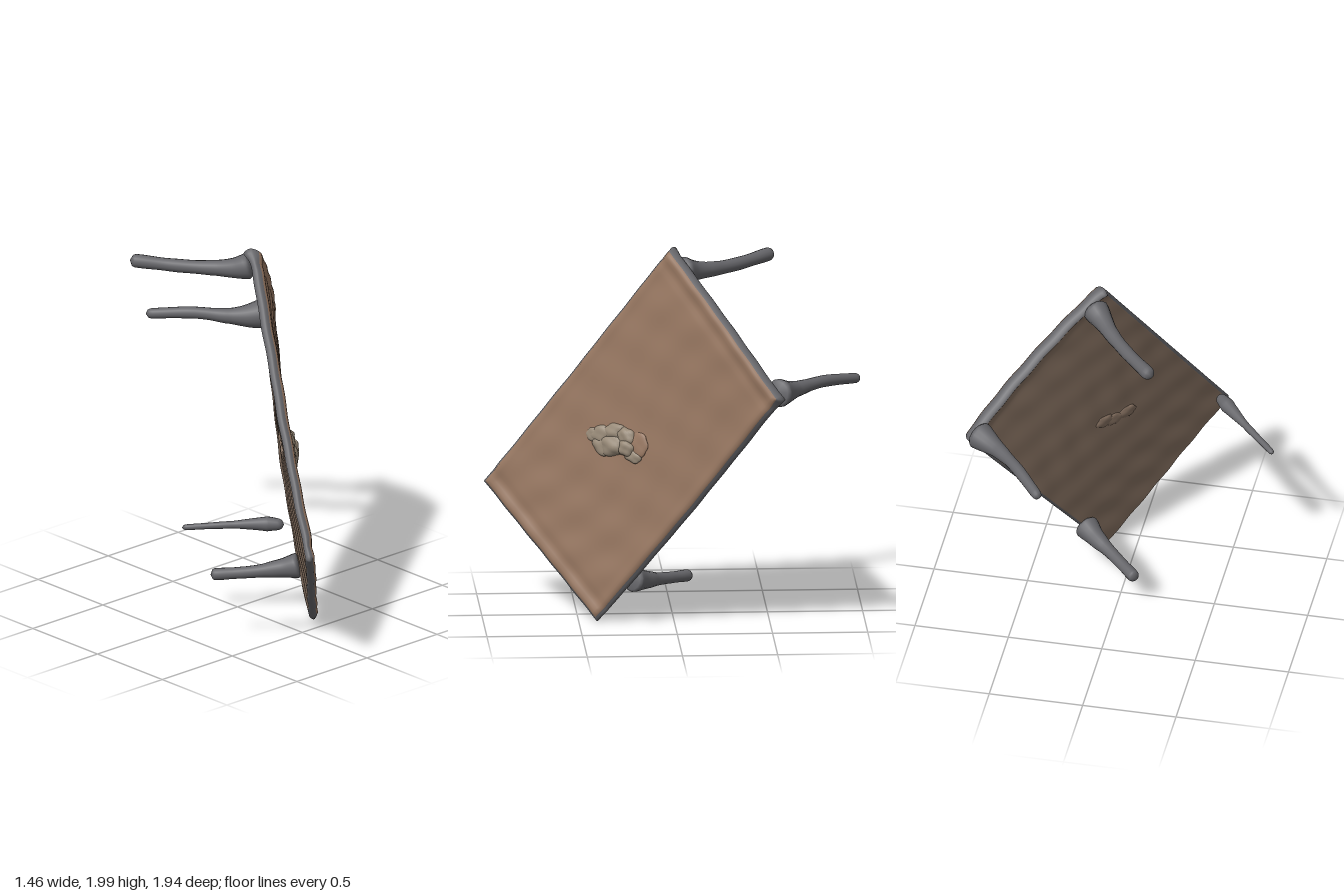
import * as THREE from 'three';
import { mergeVertices } from 'three/addons/utils/BufferGeometryUtils.js';

const V = (x, y, z) => new THREE.Vector3(x, y, z);

// Corners of the tipped table top
const TOP = V(0.12, 1.99, 0.02), BACK = V(0.73, 1.31, -0.52);
const LOW = V(0.18, 0.01, 0.41), FRONT = V(-0.36, 0.64, 0.97);
const NORMAL = V(0.76, 0.17, 0.63).normalize();
const DOWN = LOW.clone().sub(BACK).normalize();

// Point on the warped board: u runs along the short side, v along the long side
function onBoard(u, v, offset) {
  const p = TOP.clone().lerp(BACK, u).lerp(FRONT.clone().lerp(LOW, u), v);
  const bow = 0.015 * Math.sin(Math.PI * u) * (1 - v);
  const cup = -0.028 * Math.sin(Math.PI * v) * (0.3 + 0.7 * u);
  const crest = 0.022 * Math.sin(Math.PI * u) * (1 - v) ** 3;
  return p.addScaledVector(DOWN, -bow).addScaledVector(NORMAL, offset + cup + crest);
}

const bump = (d, at, width) => Math.exp(-(((d - at) / width) ** 2));

// Welds the seams so that shading is smooth
function smooth(geo) {
  geo.deleteAttribute('normal');
  geo.deleteAttribute('uv');
  const out = mergeVertices(geo, 1e-5);
  out.computeVertexNormals();
  return out;
}

// Slab with rounded edges, raised border, shallow groove and faint grain
function boardGeometry() {
  const geo = new THREE.BoxGeometry(1, 1, 1, 60, 90, 6);
  const pos = geo.attributes.position;
  for (let i = 0; i < pos.count; i++) {
    const w = pos.getZ(i) * 2;
    // Edges belly outward between the two faces
    const belly = 0.016 * (1 - w * w) - 0.01;
    const x = pos.getX(i), y = pos.getY(i);
    const onX = Math.abs(x) > 0.499, onY = Math.abs(y) > 0.499;
    const u = x + 0.5 + (onX ? Math.sign(x) * belly / 1.08 : 0);
    const v = 0.5 - y - (onY ? Math.sign(y) * belly / 1.73 : 0);
    const du = (0.5 - Math.abs(x)) * 1.08, dv = (0.5 - Math.abs(y)) * 1.73;
    const d = Math.min(du, dv);
    const round = Math.min(1, 0.3 + d / 0.03);
    const grain = 0.002 * Math.sin(u * 31 + 3 * Math.sin(v * 7)) + 0.0015 * Math.sin(v * 43 + u * 9);
    const front = 0.012 * round + 0.004 * bump(d, 0.035, 0.025) - 0.007 * bump(dv, 0.08, 0.03) + grain;
    // Apron along the upper short side, a lower one along the long sides
    const apron = 0.03 * bump((0.5 - y) * 1.73, 0, 0.05) + 0.012 * bump(du, 0, 0.035) * (0.5 + y);
    const back = -0.036 - apron + grain;
    const p = onBoard(u, v, THREE.MathUtils.lerp(back, front, (w + 1) / 2));
    pos.setXYZ(i, p.x, p.y, p.z);
  }
  return smooth(geo);
}

// Tube along points whose radius follows evenly spaced values, with round ends
function limbGeometry(points, radii) {
  const N = 48;
  const curve = new THREE.CatmullRomCurve3(points.map((p) => V(...p)));
  const geo = new THREE.TubeGeometry(curve, N, 1, 14);
  const pos = geo.attributes.position, p = V(0, 0, 0);
  for (let i = 0; i < pos.count; i++) {
    const t = Math.floor(i / 15) / N;
    const s = t * (radii.length - 1), k = Math.min(Math.floor(s), radii.length - 2);
    let r = THREE.MathUtils.lerp(radii[k], radii[k + 1], s - k);
    const e = Math.max(0, 1 - Math.min(t, 1 - t) / 0.05);
    r *= Math.sqrt(Math.max(0, 1 - e * e)) * (1 + 0.02 * Math.sin(t * 23));
    const c = curve.getPointAt(t);
    p.fromBufferAttribute(pos, i).sub(c).multiplyScalar(r).add(c);
    pos.setXYZ(i, p.x, p.y, p.z);
  }
  return smooth(geo);
}

// Unit ball with an uneven surface
function lumpGeometry(seed) {
  const geo = new THREE.SphereGeometry(1, 24, 16);
  const pos = geo.attributes.position, p = V(0, 0, 0);
  for (let i = 0; i < pos.count; i++) {
    p.fromBufferAttribute(pos, i);
    p.multiplyScalar(1 + 0.12 * Math.sin(p.x * 4 + seed) * Math.cos(p.y * 5 + seed * 2));
    pos.setXYZ(i, p.x, p.y, p.z);
  }
  return smooth(geo);
}

export function createModel() {
  const group = new THREE.Group();
  const material = (color) => new THREE.MeshStandardMaterial({ color });
  const wood = material(0x967660), underside = material(0x857060);
  const dark = material(0x66666a), clay = material(0x988a78);

  const add = (name, geo, mat, parent = group) => {
    const m = new THREE.Mesh(geo, mat);
    m.name = name;
    parent.add(m);
    return m;
  };

  // Dark edges, brown face, duller underside
  add('tableTop', boardGeometry(), [dark, dark, dark, dark, wood, underside]);

  // Three attached legs, flared at the joint, and one loose leg
  add('topLeg', limbGeometry(
    [[0.14, 1.88, -0.03], [0.08, 1.86, -0.1], [0.01, 1.85, -0.2], [-0.1, 1.85, -0.34], [-0.27, 1.87, -0.54]],
    [0.075, 0.056, 0.042, 0.037, 0.035, 0.034, 0.035, 0.036]), dark);
  add('backLeg', limbGeometry(
    [[0.67, 1.33, -0.51], [0.6, 1.32, -0.56], [0.52, 1.32, -0.63], [0.4, 1.33, -0.77], [0.24, 1.31, -0.97]],
    [0.08, 0.062, 0.042, 0.034, 0.031, 0.031, 0.028, 0.026]), dark);
  add('lowLeg', limbGeometry(
    [[0.24, 0.24, 0.23], [0.17, 0.22, 0.16], [0.06, 0.2, 0.06], [-0.1, 0.18, -0.1]],
    [0.07, 0.052, 0.037, 0.031, 0.031, 0.032]), dark);
  add('looseLeg', limbGeometry(
    [[-0.37, 0.78, 0.76], [-0.43, 0.78, 0.69], [-0.55, 0.77, 0.56], [-0.74, 0.75, 0.37]],
    [0.025, 0.04, 0.028, 0.02, 0.018, 0.016, 0.015]), dark);

  // Lumpy ornament in the middle, laid out flat against the board
  const ornament = new THREE.Group();
  ornament.name = 'ornament';
  const centre = V(0.11, 0.95, 0.3);
  const lift = onBoard(0.5, 0.5, 0).sub(centre).dot(NORMAL);
  ornament.position.copy(centre).addScaledVector(NORMAL, lift + 0.01);
  const right = V(0, 1, 0).cross(NORMAL).normalize();
  const up = NORMAL.clone().cross(right);
  ornament.quaternion.setFromRotationMatrix(new THREE.Matrix4().makeBasis(right, up, NORMAL));
  group.add(ornament);
  const lumps = [
    [-0.14, 0.02, 0.06, 0.04, 0.018], [-0.1, 0.03, 0.07, 0.05, 0.025], [-0.09, -0.03, 0.07, 0.05, 0.025],
    [-0.02, 0.05, 0.07, 0.045, 0.028], [-0.02, -0.02, 0.08, 0.06, 0.036], [0.06, 0.04, 0.06, 0.045, 0.032],
    [0.07, -0.02, 0.05, 0.05, 0.042], [0.11, -0.06, 0.06, 0.035, 0.018],
  ];
  lumps.forEach(([x, y, sx, sy, sz], i) => {
    const m = add('lump', lumpGeometry(i * 1.7), clay, ornament);
    m.position.set(x, y, 0);
    m.scale.set(sx, sy, sz);
    m.rotation.z = 0.4 * Math.sin(i * 2.3);
  });
  const disc = add('disc', lumpGeometry(3), wood, ornament);
  disc.position.set(0.13, 0, 0);
  disc.scale.set(0.07, 0.07, 0.014);

  // Faint swellings on the underside
  [[-0.06, 0.01], [0.02, 0], [0.09, 0.02]].forEach(([x, y], i) => {
    const m = add('undersideSwelling', lumpGeometry(i), underside, ornament);
    m.position.set(x, y, -0.044);
    m.scale.set(0.06, 0.04, 0.012);
  });
  return group;
}
